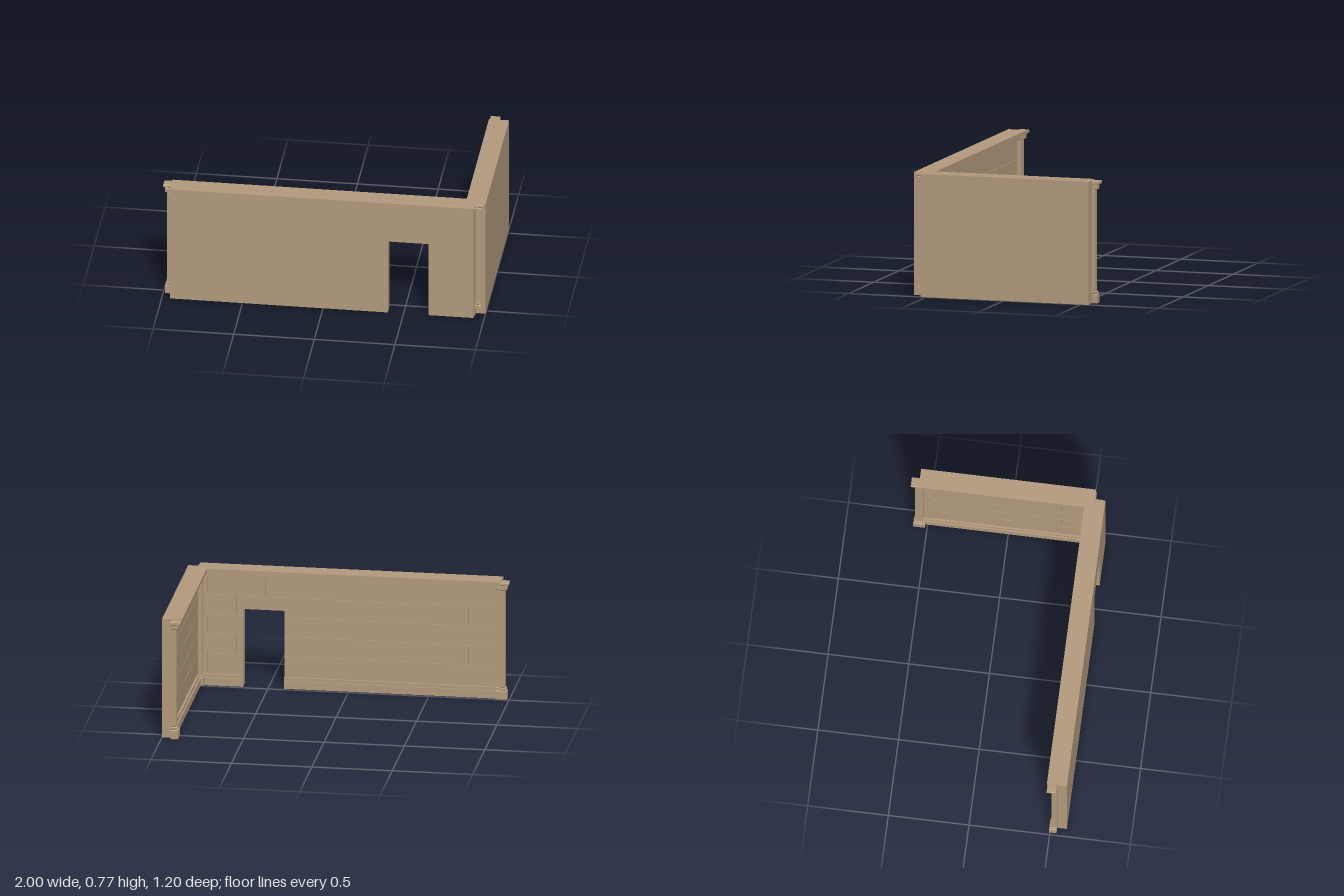
import * as THREE from 'three';

const stone = new THREE.MeshStandardMaterial({ color: 0xb2997c });
stone.name = 'tan stone';

const OUT = 0.6, GROOVE = 0.541, FACE = 0.535, H = 0.765;

function add(group, name, geometry) {
  const mesh = new THREE.Mesh(geometry, stone);
  mesh.name = name;
  group.add(mesh);
  return mesh;
}

// Box given by its limits on each axis
function box(group, name, x0, x1, y0, y1, z0, z1) {
  add(group, name, new THREE.BoxGeometry(x1 - x0, y1 - y0, z1 - z0))
    .position.set((x0 + x1) / 2, (y0 + y1) / 2, (z0 + z1) / 2);
}

// Block with every edge chamfered by c
function block(group, name, x0, x1, y0, y1, z0, z1, c) {
  const a = x0 + c, b = x1 - c, n = -z0 - c, f = -z1 + c;
  const s = new THREE.Shape([[a, f], [b, f], [b, n], [a, n]]
    .map(([x, y]) => new THREE.Vector2(x, y)));
  const g = new THREE.ExtrudeGeometry(s, {
    depth: y1 - y0 - 2 * c, bevelSize: c, bevelThickness: c, bevelSegments: 1,
  });
  add(group, name, g.rotateX(-Math.PI / 2).translate(0, y0 + c, 0));
}

// Plate in the wall plane, with an optional doorway reaching the floor
function plate(group, name, x0, x1, top, z0, z1, door) {
  const pts = [[x0, 0]];
  if (door) pts.push([door.x0, 0], [door.x0, door.h], [door.x1, door.h], [door.x1, 0]);
  pts.push([x1, 0], [x1, top], [x0, top]);
  const s = new THREE.Shape(pts.map(([x, y]) => new THREE.Vector2(x, y)));
  const g = new THREE.ExtrudeGeometry(s, { depth: z1 - z0, bevelEnabled: false });
  add(group, name, g.translate(0, 0, z0));
}

// Half column standing against the inner face and wrapping the wall end at x
function pilaster(x) {
  const g = new THREE.Group();
  g.name = 'pilaster';
  // name, half width, y range, inner z, chamfer
  [
    ['pilasterBase', 0.037, 0, 0.06, 0.494, 0.004],
    ['pilasterBaseRing', 0.032, 0.06, 0.077, 0.5, 0.003],
    ['pilasterShaft', 0.025, 0.075, 0.71, 0.507, 0.005],
    ['pilasterNeck', 0.037, 0.708, 0.741, 0.494, 0.004],
    ['pilasterCap', 0.05, 0.741, 0.762, 0.48, 0.004],
  ].forEach(([name, w, y0, y1, z0, c]) => block(g, name, x - w, x + w, y0, y1, z0, 0.541, c));
  return g;
}

// Staggered courses of slightly raised blocks
function bricks(group, x0, x1, door) {
  const rows = 5, bottom = 0.08, rowH = 0.126, len = 0.36, gap = 0.002;
  for (let r = 0; r < rows; r++) {
    const y0 = bottom + r * rowH, y1 = y0 + rowH;
    let spans = [[x0, x1, y0]];
    if (door && y0 < door.h) {
      spans = [[x0, door.x0, y0], [door.x1, x1, y0]];
      if (y1 > door.h) spans.push([door.x0, door.x1, door.h]);
    }
    for (const [a, b, low] of spans) {
      for (let s = x0 - (r % 2) * len / 2; s < b; s += len) {
        const left = Math.max(a, s), right = Math.min(b, s + len);
        if (right - left < 0.02) continue;
        const l = left === s ? left + gap : left;
        const rt = right === b ? right : right - gap;
        box(group, 'wallBlock', l, rt, low === y0 ? y0 + gap : low, y1 - gap, FACE, GROOVE);
      }
    }
  }
}

function wall(name, x0, x1, door) {
  const g = new THREE.Group();
  g.name = name;
  plate(g, 'wallSlab', x0, x1, H, GROOVE, OUT, door);
  bricks(g, x0 + 0.027, x1, door);

  // Stepped crown moulding
  box(g, 'crownLedge', x0, x1, 0.743, 0.766, 0.476, GROOVE);
  box(g, 'crownStep', x0, x1, 0.71, 0.743, 0.505, GROOVE);

  // Stepped skirting, interrupted by the doorway
  const runs = door ? [[x0, door.x0], [door.x1, x1]] : [[x0, x1]];
  for (const [a, b] of runs) {
    box(g, 'skirting', a, b, 0, 0.05, 0.518, GROOVE);
    box(g, 'skirtingStep', a, b, 0.05, 0.07, 0.527, GROOVE);
  }

  g.add(pilaster(x0), pilaster(x1));
  return g;
}

export function createModel() {
  const model = new THREE.Group();
  model.name = 'cornerWalls';

  model.add(wall('frontWall', -0.95, 0.935, { x0: 0.403, x1: 0.656, h: 0.498 }));

  // Side wall turned a quarter so its smooth face looks along +x
  const side = wall('sideWall', -0.535, 0.55);
  side.rotation.y = Math.PI / 2;
  side.position.x = 0.4;
  model.add(side);
  return model;
}
